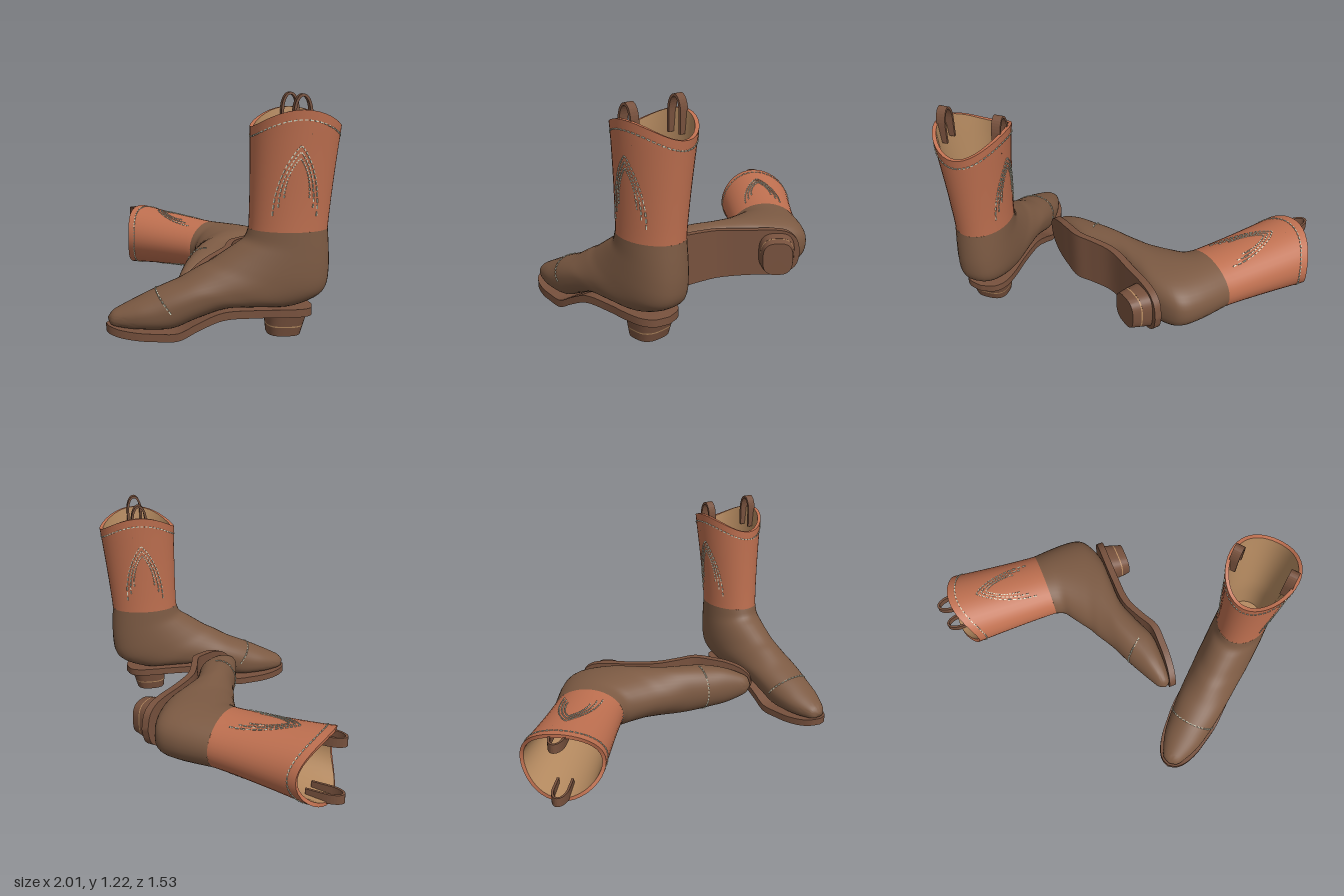
import * as THREE from 'three';
import { mergeGeometries, toCreasedNormals } from 'three/addons/utils/BufferGeometryUtils.js';

const V = (x, y, z) => new THREE.Vector3(x, y, z);
const N = 40;
const SHAFT_BASE = 0.54;
const mat = (name, color) => new THREE.MeshStandardMaterial({ name, color });

// Skin a list of closed rings
function loft(rings, crease = 0.7) {
  const n = rings[0].length, index = [];
  for (let i = 0; i < rings.length - 1; i++) {
    for (let j = 0; j < n; j++) {
      const k = (j + 1) % n;
      const a = i * n + j, b = i * n + k, c = a + n, d = b + n;
      index.push(a, b, d, a, d, c);
    }
  }
  const geo = new THREE.BufferGeometry().setFromPoints(rings.flat());
  geo.setIndex(index);
  return toCreasedNormals(geo, crease);
}

const ring = (fn, n = N) => Array.from({ length: n }, (_, j) => fn((j / n) * Math.PI * 2));
const signedPow = (v, p) => Math.sign(v) * Math.abs(v) ** p;

// Shaft surface: oval that flares upward, with a scalloped collar
const collarY = (a) => 1.047 + 0.09 * Math.sin(a) ** 2;
function shaftPoint(a, y, inset = 0) {
  const v = Math.max(0, (y - SHAFT_BASE) / 0.51);
  const hx = 0.15 + 0.037 * v ** 1.4 - inset;
  const hz = 0.2 + 0.027 * v ** 1.4 - inset;
  return V(hx * Math.sin(a), y, 0.0285 * (1 - Math.min(v, 1)) + hz * Math.cos(a));
}

// Foot sections fan from the level ankle to the upright toe.
// Each point holds half width, height and depth.
const topLine = new THREE.CatmullRomCurve3([
  V(0.15, 0.54, 0.229), V(0.151, 0.49, 0.25), V(0.154, 0.455, 0.30), V(0.156, 0.415, 0.36),
  V(0.156, 0.375, 0.42), V(0.155, 0.35, 0.47), V(0.15, 0.32, 0.52), V(0.146, 0.285, 0.58),
  V(0.14, 0.255, 0.65), V(0.13, 0.225, 0.72), V(0.112, 0.19, 0.79), V(0.081, 0.155, 0.86),
  V(0.047, 0.127, 0.91), V(0.004, 0.095, 0.935),
]);
const bottomLine = new THREE.CatmullRomCurve3([
  V(0, 0.54, -0.172), V(0, 0.43, -0.179), V(0, 0.33, -0.18), V(0, 0.25, -0.168),
  V(0, 0.205, -0.135), V(0, 0.15, 0.0), V(0, 0.147, 0.16), V(0, 0.145, 0.34),
  V(0, 0.095, 0.49), V(0, 0.045, 0.61), V(0, 0.04, 0.75), V(0, 0.045, 0.85),
  V(0, 0.06, 0.92), V(0, 0.085, 0.935),
]);
function footPoint(a, u, grow = 0) {
  const t = topLine.getPoint(u), b = bottomLine.getPoint(u);
  const flat = Math.min(1, u * 2);
  let c = Math.cos(a), s = Math.sin(a);
  if (c < 0) {
    c = signedPow(c, 1 - 0.25 * flat);
    s = signedPow(s, 1 - 0.4 * flat);
  }
  const half = t.clone().sub(b).multiplyScalar(0.5);
  const len = Math.hypot(half.y, half.z) || 1;
  const k = (c * (len + grow)) / len;
  return V(s * (t.x + grow), (t.y + b.y) / 2 + half.y * k, (t.z + b.z) / 2 + half.z * k);
}

function footGeometry() {
  const rows = [];
  for (let i = 52; i >= 0; i--) rows.push(ring((a) => footPoint(a, i / 52)));
  rows.unshift(ring(() => V(0, 0.09, 0.936)));
  return loft(rows, 0.9);
}

function shaftGeometry() {
  const rows = [];
  for (let i = 0; i <= 14; i++) {
    rows.push(ring((a) => shaftPoint(a, SHAFT_BASE + (collarY(a) - SHAFT_BASE) * i / 14)));
  }
  rows.push(ring((a) => shaftPoint(a, collarY(a), 0.02)));
  return loft(rows);
}

function liningGeometry() {
  const rows = [];
  for (let i = 0; i <= 12; i++) {
    rows.push(ring((a) => shaftPoint(a, collarY(a) + (0.3 - collarY(a)) * i / 12, 0.02)));
  }
  rows.push(ring(() => V(0, 0.3, 0.0285)));
  return loft(rows);
}

// Sole: curved plate, points hold half width, top height and depth
function soleGeometry() {
  const line = new THREE.CatmullRomCurve3([
    V(0, 0.063, 0.945), V(0.046, 0.06, 0.928), V(0.086, 0.051, 0.88), V(0.12, 0.043, 0.79),
    V(0.136, 0.041, 0.70), V(0.15, 0.046, 0.59), V(0.148, 0.095, 0.49), V(0.143, 0.143, 0.37),
    V(0.135, 0.15, 0.2), V(0.135, 0.15, 0.06), V(0.12, 0.147, -0.03), V(0.08, 0.143, -0.08),
    V(0, 0.14, -0.102),
  ]);
  const rows = [];
  for (let i = 0; i <= 60; i++) {
    const p = line.getPoint(i / 60), w = Math.max(0, p.x), low = p.y - 0.04;
    rows.push([V(-w, p.y, p.z), V(w, p.y, p.z), V(w, low, p.z), V(-w, low, p.z)]);
  }
  return loft(rows);
}

// Rounded-square block; levels are [y, half width, half depth, centre z]
function blockGeometry(levels) {
  const rows = levels.map(([y, hx, hz, cz]) => ring((a) =>
    V(hx * signedPow(Math.sin(a), 0.7), y, cz + hz * signedPow(Math.cos(a), 0.7))));
  const first = levels[0], last = levels[levels.length - 1];
  rows.unshift(ring(() => V(0, first[0], first[3])));
  rows.push(ring(() => V(0, last[0], last[3])));
  return loft(rows);
}

// Pull strap: arched ribbon, wide across the boot
function strapGeometry() {
  const arch = (r, h) => [[-r, 1.02], ...Array.from({ length: 17 }, (_, i) => {
    const a = Math.PI * (1 - i / 16);
    return [r * Math.cos(a), 1.12 + h * Math.sin(a)];
  }), [r, 1.02]];
  const pts = [...arch(0.046, 0.092), ...arch(0.033, 0.079).reverse()];
  const shape = new THREE.Shape(pts.map(([x, y]) => new THREE.Vector2(x, y)));
  const geo = new THREE.ExtrudeGeometry(shape, { depth: 0.05, bevelEnabled: false });
  return geo.translate(0, 0, -0.025).rotateY(Math.PI / 2);
}

// Row of small dashes following path(t), t from 0 to 1
function dashes(path, count) {
  const out = [], helper = new THREE.Object3D();
  for (let i = 0; i < count; i++) {
    const p = path((i + 0.15) / count), q = path((i + 0.8) / count);
    helper.position.copy(p).add(q).multiplyScalar(0.5);
    helper.lookAt(q);
    helper.updateMatrix();
    out.push(new THREE.BoxGeometry(0.006, 0.006, p.distanceTo(q)).applyMatrix4(helper.matrix));
  }
  return out;
}

function stitchGeometry() {
  const list = dashes((t) => {
    const a = t * Math.PI * 2;
    return shaftPoint(a, collarY(a) - 0.048, -0.001);
  }, 56);
  // Nested pointed arches on both sides of the shaft
  for (const side of [1, -1]) {
    for (const [half, peak, foot] of [[0.115, 0.965, 0.615], [0.09, 0.935, 0.66], [0.065, 0.905, 0.71]]) {
      list.push(...dashes((t) => {
        const k = 2 * t - 1;
        const across = half * signedPow(Math.sin(Math.abs(k) * Math.PI / 2), 1.1) * Math.sign(k);
        const y = peak - (peak - foot) * Math.abs(k) ** 1.35;
        const a = Math.PI / 2 - Math.asin(across / 0.215);
        return shaftPoint(side * a, y, -0.001);
      }, 28));
    }
  }
  // Toe cap seam
  list.push(...dashes((t) => footPoint((t - 0.5) * 3.3, 0.665, 0.001), 18));
  return mergeGeometries(list);
}

export function createModel() {
  const shaftMat = mat('russet leather', 0xbf7050);
  const footMat = mat('brown leather', 0x7c5a43);
  const soleMat = mat('dark sole leather', 0x77513d);
  const liningMat = mat('tan lining', 0xb58a60);
  const threadMat = mat('pale thread', 0xcfd0ba);

  const parts = [
    ['shaft', shaftGeometry(), shaftMat],
    ['lining', liningGeometry(), liningMat],
    ['foot', footGeometry(), footMat],
    ['sole', soleGeometry(), soleMat],
    ['heelBlock', blockGeometry([[0.053, 0.104, 0.095, 0.042], [0.115, 0.115, 0.104, 0.033]]), soleMat],
    ['heelStripe', blockGeometry([[0.046, 0.102, 0.094, 0.043], [0.053, 0.103, 0.095, 0.042]]), liningMat],
    ['heelCap', blockGeometry([[0, 0.093, 0.085, 0.047], [0.046, 0.102, 0.094, 0.043]]), soleMat],
    ['stitching', stitchGeometry(), threadMat],
  ];
  const strap = strapGeometry();

  function makeBoot(name) {
    const boot = new THREE.Group();
    boot.name = name;
    const add = (part, geo, material) => {
      const mesh = new THREE.Mesh(geo, material);
      mesh.name = part;
      boot.add(mesh);
      return mesh;
    };
    for (const part of parts) add(...part);
    add('leftPullStrap', strap, soleMat).position.x = 0.155;
    add('rightPullStrap', strap, soleMat).position.x = -0.155;
    return boot;
  }

  const model = new THREE.Group();
  model.name = 'pairOfBoots';

  const standing = makeBoot('standingBoot');
  standing.rotation.y = -40 * Math.PI / 180;
  standing.position.set(0.797, 0, 0.02);

  // Fallen boot lies on its side, sole turned toward +x
  const lying = makeBoot('lyingBoot');
  const s = Math.sin(10 * Math.PI / 180), c = Math.cos(10 * Math.PI / 180);
  lying.quaternion.setFromRotationMatrix(
    new THREE.Matrix4().makeBasis(V(0, 1, 0), V(-c, 0, s), V(s, 0, c)));
  lying.position.set(0.192, 0.192, -0.642);

  model.add(standing, lying);
  return model;
}
